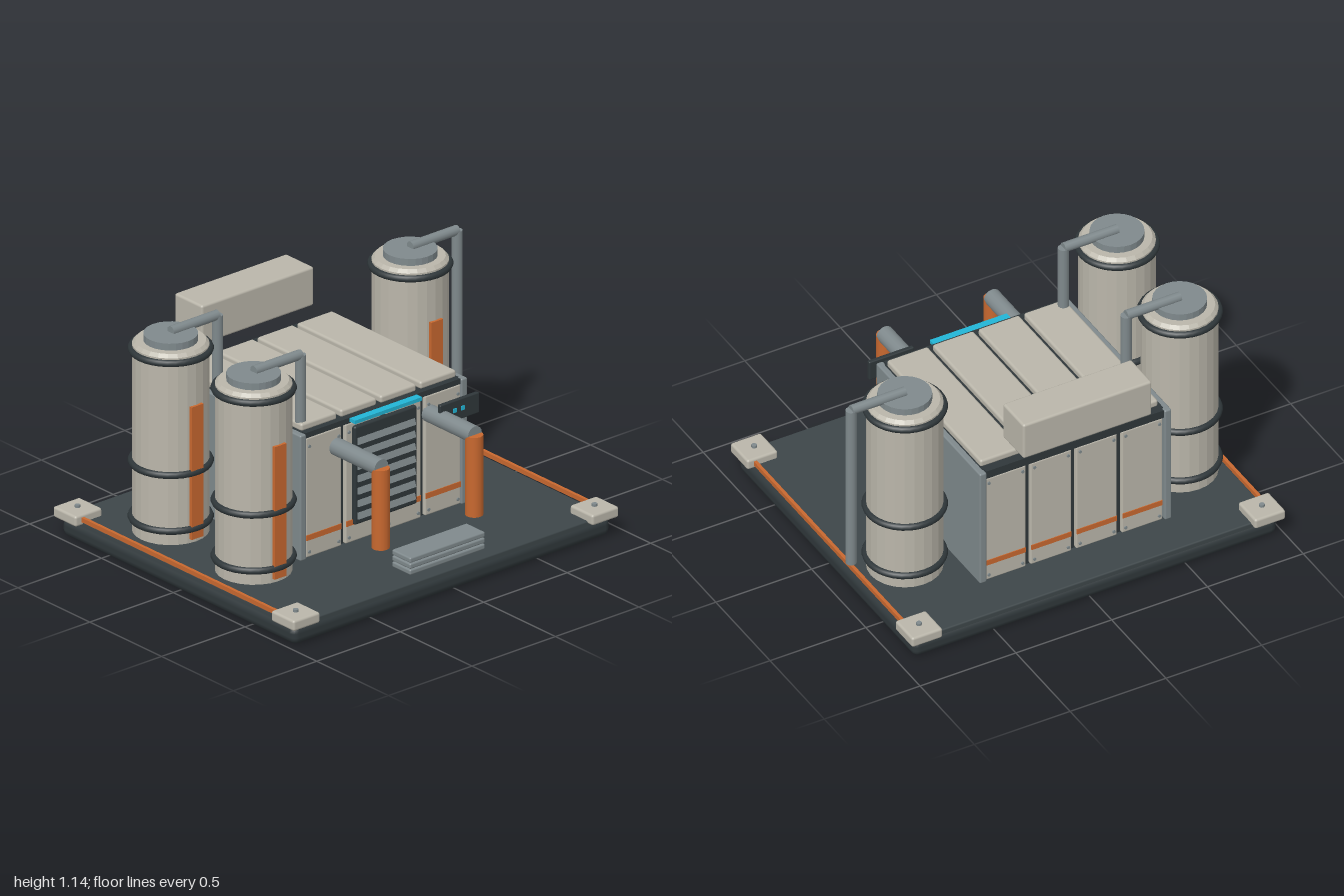
import * as THREE from 'three';
import { RoundedBoxGeometry } from 'three/addons/geometries/RoundedBoxGeometry.js';

const mat = (color, flatShading = false) => new THREE.MeshStandardMaterial({ color, flatShading });
const BEIGE = mat(0xbab6aa), DARK = mat(0x2f373a), DECK = mat(0x3d4649), STEEL = mat(0x7f898c);
const ORANGE = mat(0xc8682f), CYAN = mat(0x22b5d6);
const BEIGE_FLAT = mat(0xbab6aa, true), STEEL_FLAT = mat(0x7f898c, true);

function add(parent, name, geometry, material) {
  const mesh = new THREE.Mesh(geometry, material);
  mesh.name = name;
  parent.add(mesh);
  return mesh;
}

// Box given by its limits on each axis; r > 0 rounds the edges
function box(parent, name, material, [x0, x1], [y0, y1], [z0, z1], r = 0) {
  const s = [x1 - x0, y1 - y0, z1 - z0];
  const g = r ? new RoundedBoxGeometry(...s, 2, r) : new THREE.BoxGeometry(...s);
  const mesh = add(parent, name, g, material);
  mesh.position.set((x0 + x1) / 2, (y0 + y1) / 2, (z0 + z1) / 2);
  return mesh;
}

// Cylinder between two points
function rod(parent, name, material, a, b, r, sides = 12) {
  const p = new THREE.Vector3(...a), q = new THREE.Vector3(...b);
  const d = q.clone().sub(p);
  const mesh = add(parent, name, new THREE.CylinderGeometry(r, r, d.length(), sides), material);
  mesh.position.copy(p).add(q).multiplyScalar(0.5);
  mesh.quaternion.setFromUnitVectors(new THREE.Vector3(0, 1, 0), d.normalize());
  return mesh;
}

function group(parent, name) {
  const g = new THREE.Group();
  g.name = name;
  parent.add(g);
  return g;
}

function buildBase(root) {
  const g = group(root, 'base');
  box(g, 'baseSlab', DARK, [-0.975, 0.925], [0, 0.09], [-0.815, 0.815], 0.035);
  box(g, 'deckPlate', DECK, [-0.955, 0.905], [0.07, 0.105], [-0.805, 0.805], 0.008);
  for (const x of [-0.957, 0.909]) {
    box(g, 'sideRail', ORANGE, [x - 0.008, x + 0.008], [0.108, 0.13], [-0.7, 0.7]);
  }
  // Corner blocks with a bolt on each
  for (const x of [-0.92, 0.87]) {
    for (const z of [-0.76, 0.76]) {
      box(g, 'cornerBlock', BEIGE, [x - 0.08, x + 0.08], [0.09, 0.143], [z - 0.08, z + 0.08], 0.012);
      rod(g, 'cornerBolt', STEEL, [x, 0.14, z], [x, 0.155, z], 0.013);
    }
  }
}

function buildTank(root, x, z) {
  const g = group(root, 'tank');
  g.position.set(x, 0, z);
  // Faceted shell with a chamfered shoulder
  const profile = [[0, 0.13], [0.177, 0.13], [0.177, 1.06], [0.162, 1.076], [0, 1.076]]
    .map(([r, y]) => new THREE.Vector2(r, y));
  add(g, 'tankBody', new THREE.LatheGeometry(profile, 24), BEIGE_FLAT);
  rod(g, 'tankCap', STEEL_FLAT, [0, 1.07, 0], [0, 1.11, 0], 0.125, 24);
  for (const y of [0.2, 0.478, 1.036]) {
    const ring = add(g, 'tankRing', new THREE.TorusGeometry(0.18, 0.017, 8, 32), DARK);
    ring.rotation.x = Math.PI / 2;
    ring.position.y = y;
  }
  box(g, 'tankStripe', ORANGE, [-0.035, 0.035], [0.15, 0.81], [0.165, 0.188]);
  rod(g, 'outletPipe', STEEL, [0, 1.117, 0], [0.28, 1.117, 0], 0.024);
  rod(g, 'downPipe', STEEL, [0.28, 0.245, 0], [0.28, 1.117, 0], 0.026);
}

function buildCabinet(root) {
  const g = group(root, 'cabinet');
  box(g, 'cabinetCore', DARK, [-0.5, 0.446], [0.13, 0.755], [-0.593, 0.308]);
  for (const x of [-0.51, 0.455]) {
    box(g, 'sideWall', STEEL, [x - 0.018, x + 0.018], [0.13, 0.755], [-0.622, 0.338], 0.008);
  }
  // Dark headers along the top edge, front and back
  box(g, 'frontHeader', DARK, [-0.49, 0.436], [0.73, 0.757], [0.3, 0.33]);
  box(g, 'backHeader', DARK, [-0.49, 0.436], [0.715, 0.757], [-0.615, -0.585]);
  // Four bays: roof, front and back panel in each
  for (let i = 0; i < 4; i++) {
    const cx = -0.38 + i * 0.238, span = [cx - 0.107, cx + 0.107];
    box(g, 'roofPanel', BEIGE, span, [0.75, 0.788], [-0.57, 0.297], 0.012);
    for (const [zIn, zOut, s] of [[0.295, 0.328, 1], [-0.58, -0.612, -1]]) {
      const lim = (a, b) => [Math.min(a, b), Math.max(a, b)];
      box(g, 'wallPanel', BEIGE, span, [0.132, s > 0 ? 0.728 : 0.712], lim(zIn, zOut), 0.008);
      box(g, 'panelStripe', ORANGE, [cx - 0.104, cx + 0.104], [0.218, 0.245], lim(zIn, zOut + s * 0.004));
      for (const dx of [-0.088, 0.088]) {
        for (const y of [0.16, 0.685]) {
          rod(g, 'panelBolt', STEEL, [cx + dx, y, zOut - s * 0.01], [cx + dx, y, zOut + s * 0.006], 0.008, 8);
        }
      }
    }
  }
}

function buildLouver(root) {
  const g = group(root, 'louver');
  box(g, 'louverFrame', DARK, [-0.21, 0.163], [0.22, 0.71], [0.31, 0.348], 0.01);
  for (let i = 0; i < 7; i++) {
    const y = 0.635 - i * 0.062;
    const slat = box(g, 'louverSlat', STEEL, [-0.195, 0.148], [y - 0.016, y + 0.016], [0.342, 0.354]);
    slat.rotation.x = -0.3;
  }
  box(g, 'lightBar', CYAN, [-0.227, 0.175], [0.737, 0.755], [0.32, 0.368]);
}

function buildFrontFittings(root) {
  const g = group(root, 'frontFittings');
  for (const x of [-0.305, 0.255]) {
    rod(g, 'exhaustPipe', STEEL, [x, 0.637, 0.32], [x, 0.637, 0.642], 0.042, 16);
    rod(g, 'exhaustDrop', ORANGE, [x, 0.24, 0.637], [x, 0.637, 0.637], 0.042, 16);
  }
  // Indicator plate standing off the right-hand bay
  box(g, 'indicatorPlate', DARK, [0.235, 0.47], [0.61, 0.712], [0.403, 0.425], 0.006);
  for (const x of [0.32, 0.367]) {
    box(g, 'indicatorLight', CYAN, [x - 0.01, x + 0.01], [0.655, 0.675], [0.42, 0.43]);
  }
  // Stacked step
  for (let i = 0; i < 3; i++) {
    const y = 0.13 + i * 0.03;
    box(g, 'step', STEEL, [-0.25, 0.2], [y, y + 0.027], [0.649, 0.779], 0.008);
  }
}

function buildControlPanel(root) {
  const g = group(root, 'controlPanel');
  box(g, 'panelHousing', DARK, [0.465, 0.528], [0.262, 0.533], [0.02, 0.213], 0.015);
  box(g, 'screen', CYAN, [0.52, 0.533], [0.417, 0.498], [0.052, 0.178]);
  for (let i = 0; i < 3; i++) {
    const y = 0.386 - i * 0.027;
    box(g, 'keyLine', STEEL, [0.52, 0.533], [y - 0.004, y + 0.004], [0.052, 0.178]);
  }
}

export function createModel() {
  const root = new THREE.Group();
  root.name = 'processingPlant';
  buildBase(root);
  for (const [x, z] of [[-0.74, 0.258], [-0.74, -0.32], [0.695, -0.32]]) buildTank(root, x, z);
  buildCabinet(root);
  buildLouver(root);
  buildFrontFittings(root);
  buildControlPanel(root);
  box(root, 'overheadTank', BEIGE, [-0.361, 0.311], [0.86, 1.053], [-0.736, -0.543], 0.012);
  return root;
}
